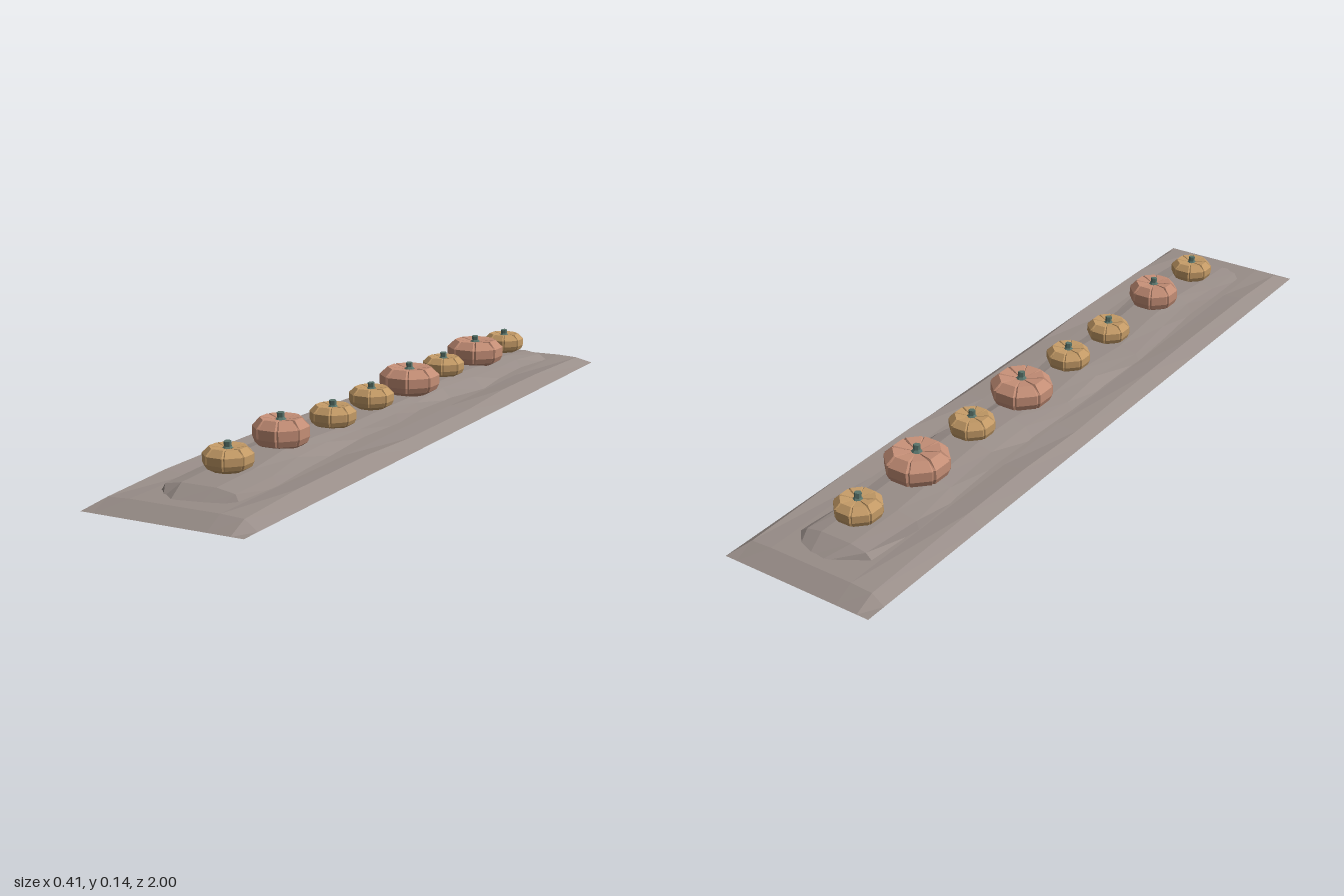
import * as THREE from 'three';

const soil = new THREE.MeshStandardMaterial({ color: 0x988d88, side: THREE.DoubleSide });
const paleOrange = new THREE.MeshStandardMaterial({ color: 0xc48e76 });
const ochre = new THREE.MeshStandardMaterial({ color: 0xc39a66 });
const stemGreen = new THREE.MeshStandardMaterial({ color: 0x58736a });

// Give every facet its own flat normal
function faceted(geometry) {
  const g = geometry.index ? geometry.toNonIndexed() : geometry;
  g.computeVertexNormals();
  return g;
}

// Open sheet through cross-sections that run along +z, each going from -x to +x
function sheet(rows) {
  const n = rows[0].length, index = [];
  for (let i = 0; i < rows.length - 1; i++) {
    for (let j = 0; j < n - 1; j++) {
      const a = i * n + j, b = a + 1;
      index.push(a, a + n, b, b, a + n, b + n);
    }
  }
  const g = new THREE.BufferGeometry();
  g.setAttribute('position', new THREE.Float32BufferAttribute(rows.flat(2), 3));
  g.setIndex(index);
  return faceted(g);
}

function addMesh(parent, name, geometry, material) {
  const mesh = new THREE.Mesh(geometry, material);
  mesh.name = name;
  parent.add(mesh);
  return mesh;
}

// Bed: hollow underneath, with sloping edges and a rim raised in places
function bedGeometry() {
  const flatEnd = z => [-0.205, -0.173, -0.115, 0.115, 0.173, 0.205].map(x => [x, 0, z]);
  // z, left rim height, right rim height
  const rims = [
    [-0.947, 0.023, 0.023], [-0.6, 0.032, 0.032], [-0.38, 0.033, 0.033], [-0.15, 0.024, 0.024],
    [0.2, 0.031, 0.024], [0.42, 0.033, 0.033], [0.74, 0.032, 0.032], [0.947, 0.023, 0.023],
  ];
  const rows = rims.map(([z, l, r]) => [
    [-0.205, 0, z], [-0.173, l, z], [-0.115, 0.026, z],
    [0.115, 0.026, z], [0.173, r, z], [0.205, 0, z],
  ]);
  return sheet([flatEnd(-1), ...rows, flatEnd(1)]);
}

// Mound: wandering ridge of heaped earth, its foot sunk just below the bed
function moundGeometry() {
  // z, left foot, left shoulder, right shoulder, right foot, crest height
  const sections = [
    [-0.86, -0.105, -0.085, 0.085, 0.113, 0.048], [-0.71, -0.115, -0.108, 0.07, 0.09, 0.057],
    [-0.56, -0.108, -0.09, 0.075, 0.095, 0.059], [-0.39, -0.1, -0.085, 0.075, 0.115, 0.067],
    [-0.24, -0.105, -0.08, 0.05, 0.08, 0.061], [-0.07, -0.112, -0.095, 0.055, 0.068, 0.053],
    [0.08, -0.115, -0.085, 0.072, 0.085, 0.058], [0.25, -0.118, -0.105, 0.062, 0.075, 0.053],
    [0.42, -0.108, -0.09, 0.065, 0.09, 0.061], [0.58, -0.095, -0.08, 0.08, 0.1, 0.065],
    [0.72, -0.098, -0.085, 0.1, 0.115, 0.056], [0.86, -0.098, -0.085, 0.095, 0.105, 0.05],
  ];
  const rows = sections.map(([z, fl, sl, sr, fr, h]) => [
    [fl, 0.021, z], [sl, h * 0.84, z], [sl * 0.5, h, z],
    [sr * 0.5, h, z], [sr, h * 0.84, z], [fr, 0.021, z],
  ]);
  const backTip = [[-0.09, -0.87], [-0.05, -0.895], [0, -0.925], [0.03, -0.92], [0.07, -0.905], [0.085, -0.89]];
  const frontTip = [[-0.09, 0.865], [-0.07, 0.89], [-0.035, 0.918], [0.03, 0.905], [0.08, 0.89], [0.1, 0.87]];
  const tip = points => points.map(([x, z]) => [x, 0.021, z]);
  return sheet([tip(backTip), ...rows, tip(frontTip)]);
}

// Pumpkin body of unit radius and height: eight flat lobes parted by narrow grooves
function pumpkinGeometry() {
  const profile = [[0, 0], [0.62, 0], [0.92, 0.18], [1, 0.38], [1, 0.72], [0.73, 1], [0.2, 0.93], [0, 0.88]]
    .map(([r, y]) => new THREE.Vector2(r, y));
  const g = new THREE.LatheGeometry(profile, 24);
  const p = g.attributes.position;
  const offsets = [-19, 19, 22.5], scales = [1.055, 1.055, 1.0];
  for (let i = 0; i < p.count; i++) {
    const column = Math.floor(i / profile.length), row = i % profile.length;
    const k = column % 3;
    const a = THREE.MathUtils.degToRad(Math.floor(column / 3) * 45 + offsets[k]);
    const r = profile[row].x * scales[k];
    // grooves also cut into the top
    const dip = k === 2 && (row === 5 || row === 6) ? 0.06 : 0;
    p.setXYZ(i, Math.sin(a) * r, profile[row].y - dip, Math.cos(a) * r);
  }
  return faceted(g);
}

export function createModel() {
  const group = new THREE.Group();
  group.name = 'pumpkinBed';
  addMesh(group, 'bed', bedGeometry(), soil);
  addMesh(group, 'mound', moundGeometry(), soil);

  const bodyGeometry = pumpkinGeometry();
  const stemGeometry = faceted(new THREE.CylinderGeometry(0.009, 0.008, 0.024, 6));
  const footGeometry = faceted(new THREE.CylinderGeometry(0.008, 0.015, 0.007, 6));

  // z, radius, underside, body height, large or small
  const pumpkins = [
    [-0.78, 0.055, 0.057, 0.054, false], [-0.567, 0.076, 0.055, 0.072, true],
    [-0.352, 0.055, 0.061, 0.054, false], [-0.14, 0.076, 0.052, 0.072, true],
    [0.077, 0.055, 0.057, 0.054, false], [0.277, 0.055, 0.051, 0.054, false],
    [0.52, 0.064, 0.055, 0.071, true], [0.742, 0.055, 0.054, 0.054, false],
  ];
  for (const [z, radius, y, height, large] of pumpkins) {
    const pumpkin = new THREE.Group();
    pumpkin.name = large ? 'largePumpkin' : 'smallPumpkin';
    pumpkin.position.set(0, y, z);
    group.add(pumpkin);
    addMesh(pumpkin, 'pumpkinBody', bodyGeometry, large ? paleOrange : ochre)
      .scale.set(radius, height, radius);
    const stem = addMesh(pumpkin, 'stem', stemGeometry, stemGreen);
    stem.position.set(0, height, 0);
    stem.rotation.x = 0.12;
    addMesh(pumpkin, 'stemFoot', footGeometry, stemGreen).position.y = height - 0.003;
  }
  return group;
}
